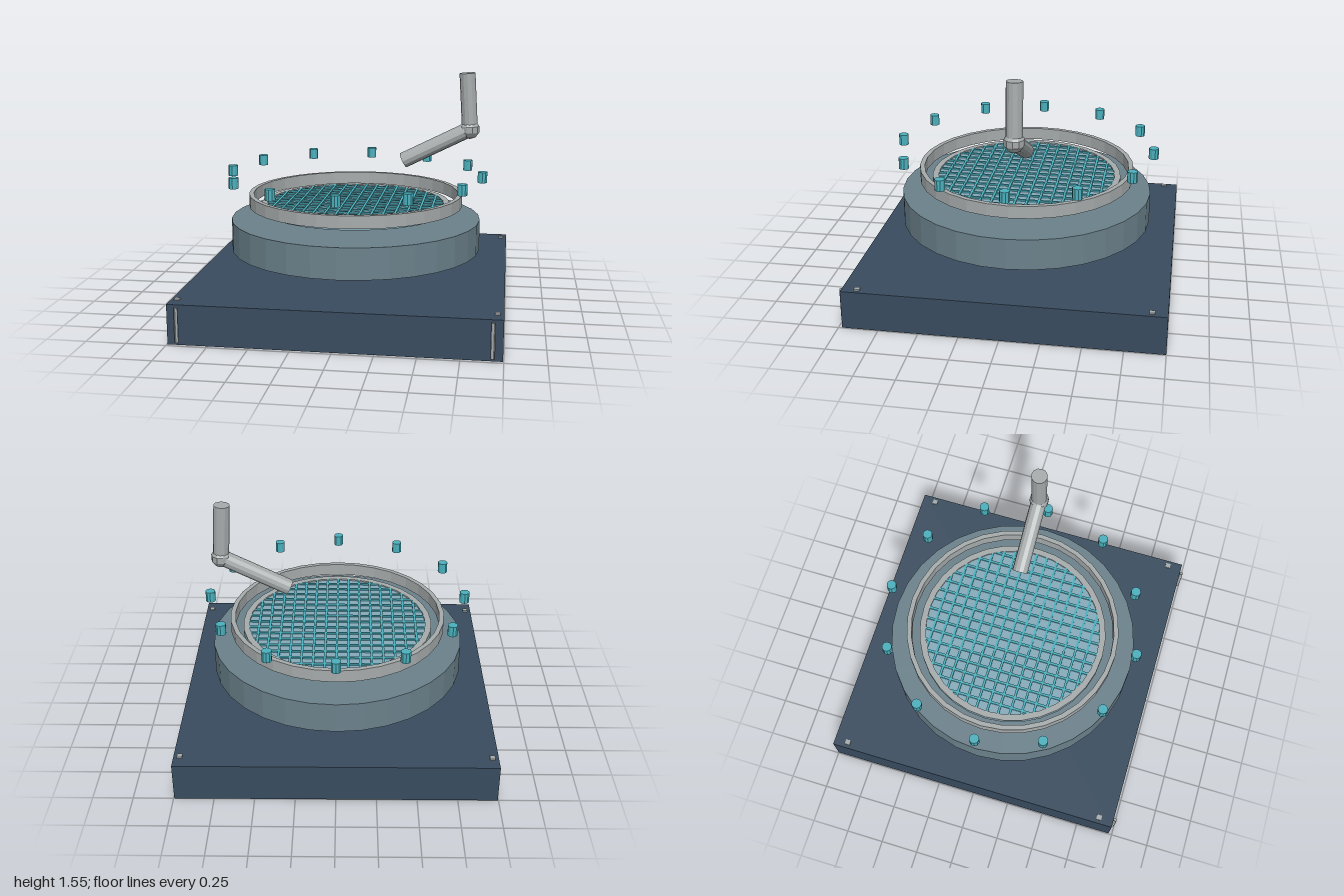
import * as THREE from 'three';

const mat = (name, color, flatShading = true) => {
  const m = new THREE.MeshStandardMaterial({ color, flatShading });
  m.name = name;
  return m;
};

export function createModel() {
  const navy = mat('navy base', 0x384b5e);
  const slate = mat('slate housing', 0x6b818b);
  const steel = mat('light steel', 0xa6abac);
  const teal = mat('teal', 0x4ab0bd);
  const glass = mat('pale blue plate', 0x86aaba);

  const model = new THREE.Group();
  model.name = 'explodedAssembly';
  const CZ = -0.013; // common axis of the round parts

  const add = (name, geometry, material, x, y, z, parent = model) => {
    const mesh = new THREE.Mesh(geometry, material);
    mesh.name = name;
    mesh.position.set(x, y, z);
    parent.add(mesh);
    return mesh;
  };
  const group = (name) => {
    const g = new THREE.Group();
    g.name = name;
    model.add(g);
    return g;
  };
  // Flat-sided ring with a rectangular section
  const ring = (inner, outer, y0, y1) => new THREE.LatheGeometry(
    [[inner, y0], [outer, y0], [outer, y1], [inner, y1], [inner, y0]]
      .map(([r, y]) => new THREE.Vector2(r, y)), 32);
  // Round bar between two points
  const rod = (name, a, b, radius, parent) => {
    const dir = b.clone().sub(a);
    const mid = a.clone().add(b).multiplyScalar(0.5);
    const mesh = add(name, new THREE.CylinderGeometry(radius, radius, dir.length(), 12),
      steel, mid.x, mid.y, mid.z, parent);
    mesh.quaternion.setFromUnitVectors(new THREE.Vector3(0, 1, 0), dir.normalize());
  };

  // Square base
  add('base', new THREE.BoxGeometry(1.992, 0.25, 1.977), navy, 0, 0.125, -0.0115);

  // Corner studs on top and upright pins on the front face
  const fittings = group('baseFittings');
  for (const x of [-1, 1]) {
    for (const z of [-1, 1]) {
      add('cornerStud', new THREE.BoxGeometry(0.032, 0.01, 0.034), steel,
        x * 0.957, 0.255, CZ + z * 0.893, fittings);
    }
    add('frontPin', new THREE.CylinderGeometry(0.0115, 0.0115, 0.215, 12), steel,
      x * 0.936, 0.127, 0.9885, fittings);
  }

  // Round housing
  add('housing', new THREE.CylinderGeometry(0.82, 0.82, 0.2, 32), slate, 0, 0.492, CZ);

  // Plate with its rim and wire grid
  add('plate', new THREE.CylinderGeometry(0.622, 0.622, 0.032, 32), glass, 0, 0.664, CZ);
  add('plateRim', ring(0.582, 0.622, 0.678, 0.69), steel, 0, 0, CZ);
  const grid = group('wireGrid');
  const pitch = 0.0735;
  for (let i = -7; i <= 7; i++) {
    const offset = i * pitch;
    const chord = 2 * Math.sqrt(0.582 ** 2 - offset ** 2);
    add('gridWire', new THREE.BoxGeometry(0.015, 0.01, chord), teal, offset, 0.685, CZ, grid);
    add('gridCrossWire', new THREE.BoxGeometry(chord, 0.01, 0.015), teal, 0, 0.6845, CZ + offset, grid);
  }

  // Clamping ring around the plate
  add('clampRing', ring(0.672, 0.703, 0.677, 0.758), steel, 0, 0, CZ);

  // Circle of twelve bolts
  const bolts = group('bolts');
  for (let i = 0; i < 12; i++) {
    const a = i * Math.PI / 6;
    add('bolt', new THREE.CylinderGeometry(0.032, 0.032, 0.07, 10), teal,
      0.831 * Math.cos(a), 0.878, CZ + 0.831 * Math.sin(a), bolts);
  }

  // Bent arm with an elbow joint
  const arm = group('arm');
  const elbow = new THREE.Vector3(0.741, 1.185, -0.056);
  rod('upperArm', elbow, new THREE.Vector3(0.718, 1.548, -0.056), 0.051, arm);
  rod('lowerArm', elbow, new THREE.Vector3(0.309, 0.968, -0.056), 0.051, arm);
  add('elbow', new THREE.SphereGeometry(0.065, 10, 5), steel, elbow.x, elbow.y, elbow.z, arm);

  return model;
}
